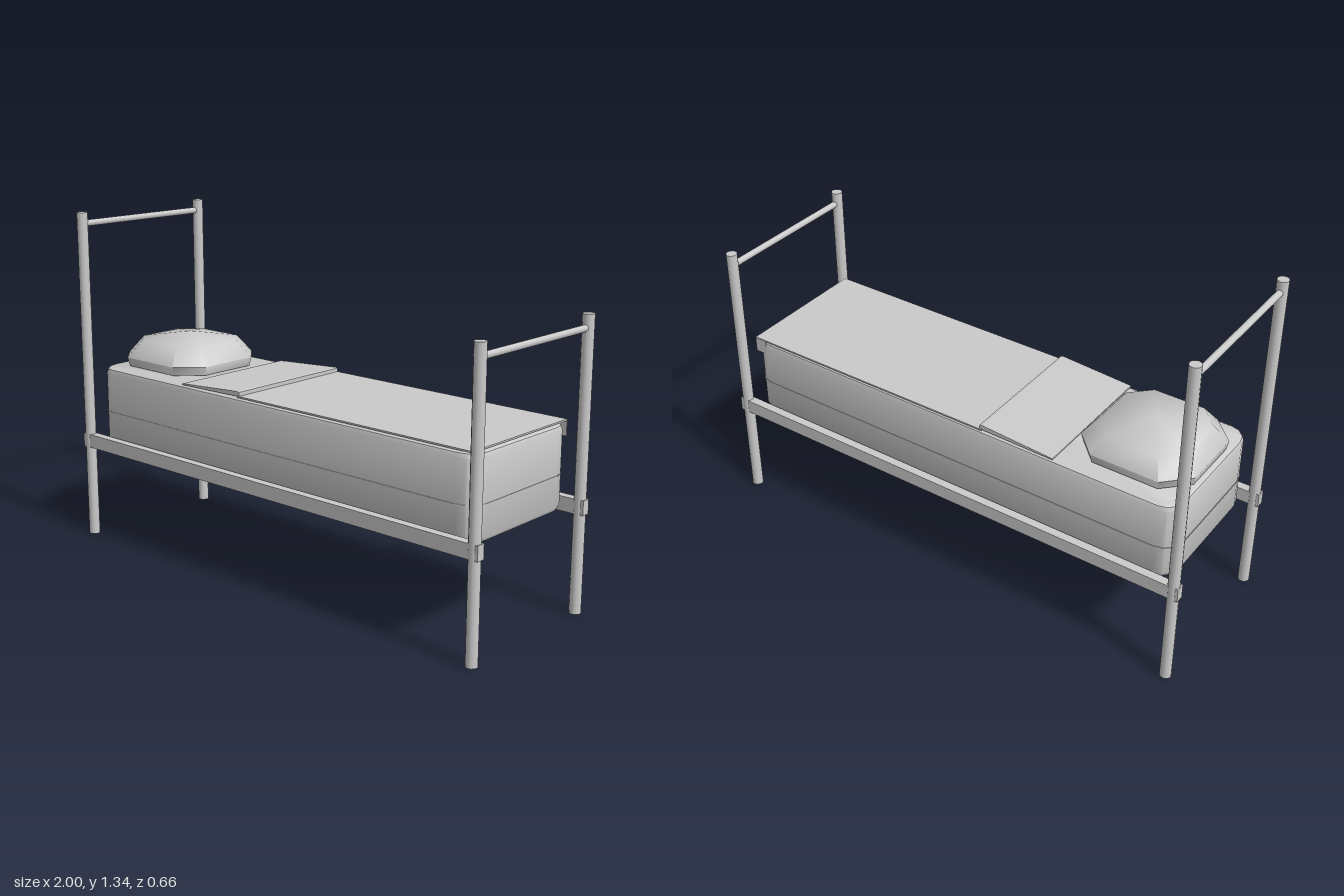
import * as THREE from 'three';
import { toCreasedNormals } from 'three/addons/utils/BufferGeometryUtils.js';

const grey = new THREE.MeshStandardMaterial({ color: 0xcccccc });
const greyThin = new THREE.MeshStandardMaterial({ color: 0xcccccc, side: THREE.DoubleSide });

// Plan outline of a rectangle with rounded corners, as [x, z] pairs
function roundedRect(hx, hz, r, segments) {
  const points = [];
  [[1, 1], [-1, 1], [-1, -1], [1, -1]].forEach(([sx, sz], corner) => {
    for (let s = 0; s <= segments; s++) {
      const a = (corner + s / segments) * Math.PI / 2;
      points.push([sx * (hx - r) + r * Math.cos(a), sz * (hz - r) + r * Math.sin(a)]);
    }
  });
  return points;
}

// Skin over stacked outlines { y, outline }, with a top centre and optional bottom centre
function loft(rings, topY, bottomY = null, crease = 0.6) {
  const n = rings[0].outline.length;
  const pos = [], index = [];
  for (const { y, outline } of rings) for (const [x, z] of outline) pos.push(x, y, z);
  for (let j = 0; j < rings.length - 1; j++) {
    for (let i = 0; i < n; i++) {
      const a = j * n + i, b = j * n + (i + 1) % n;
      index.push(a, a + n, b, b, a + n, b + n);
    }
  }
  const last = (rings.length - 1) * n;
  const top = pos.length / 3;
  pos.push(0, topY, 0);
  for (let i = 0; i < n; i++) index.push(last + i, top, last + (i + 1) % n);
  if (bottomY !== null) {
    pos.push(0, bottomY, 0);
    for (let i = 0; i < n; i++) index.push(i, (i + 1) % n, top + 1);
  }
  const geometry = new THREE.BufferGeometry();
  geometry.setAttribute('position', new THREE.Float32BufferAttribute(pos, 3));
  geometry.setIndex(index);
  geometry.computeVertexNormals();
  return toCreasedNormals(geometry, crease);
}

export function createModel() {
  const group = new THREE.Group();
  const add = (name, geometry, x = 0, y = 0, z = 0, material = grey) => {
    const mesh = new THREE.Mesh(geometry, material);
    mesh.name = name;
    mesh.position.set(x, y, z);
    group.add(mesh);
    return mesh;
  };

  // Tall head posts, shorter foot posts, one crossbar at each end
  for (const [end, x, height, barY] of [['head', -0.975, 1.335, 1.29], ['foot', 0.975, 1.095, 1.045]]) {
    for (const z of [-0.31, 0.31]) {
      add(end + 'Post', new THREE.CylinderGeometry(0.022, 0.022, height, 12), x, height / 2, z);
    }
    add(end + 'Crossbar', new THREE.CylinderGeometry(0.013, 0.013, 0.62, 10), x, barY, 0)
      .rotation.x = Math.PI / 2;
  }

  // Side rails
  for (const z of [-0.31, 0.31]) {
    add('sideRail', new THREE.BoxGeometry(2, 0.055, 0.034), 0, 0.4025, z);
  }

  // Mattress: softened shell, open underneath
  const mattressRing = (y, inset) => ({ y, outline: roundedRect(0.943 - inset, 0.28 - inset, 0.075 - inset, 3) });
  add('mattress', loft([
    mattressRing(0.4, 0.008), mattressRing(0.415, 0), mattressRing(0.69, 0),
    mattressRing(0.705, 0.006), mattressRing(0.712, 0.02),
  ], 0.712), 0, 0, 0, greyThin);

  // Thin seam around the mattress
  const seam = new THREE.Shape(roundedRect(0.945, 0.282, 0.076, 3).map(p => new THREE.Vector2(...p)));
  seam.holes.push(new THREE.Path(roundedRect(0.94, 0.277, 0.072, 3).map(p => new THREE.Vector2(...p))));
  add('mattressSeam', new THREE.ExtrudeGeometry(seam, { depth: 0.004, bevelEnabled: false }), 0, 0.532, 0)
    .rotation.x = Math.PI / 2;

  // Flat blanket with its small turned-down corner
  add('blanket', new THREE.BoxGeometry(1.08, 0.006, 0.55), 0.39, 0.717, 0);
  add('blanketCorner', new THREE.BoxGeometry(0.05, 0.06, 0.004), 0.905, 0.688, -0.275);

  // Folded-back blanket edge, a low wedge rising towards the foot
  const fold = new THREE.Shape([[-0.45, 0.713], [-0.14, 0.718], [-0.14, 0.735], [-0.15, 0.737], [-0.45, 0.718]]
    .map(p => new THREE.Vector2(...p)));
  add('blanketFold', new THREE.ExtrudeGeometry(fold, { depth: 0.545, bevelEnabled: false }), 0, 0, -0.2725);

  // Pillow: eight-sided band with a domed top
  const pillowRing = (y, hx, hz, chamfer) => ({ y, outline: roundedRect(hx, hz, chamfer, 1) });
  add('pillow', loft([
    pillowRing(0.718, 0.22, 0.21, 0.09), pillowRing(0.753, 0.227, 0.218, 0.092),
    pillowRing(0.82, 0.175, 0.168, 0.075),
  ], 0.849, 0.718, 0.9), -0.702, 0, 0);

  return group;
}
